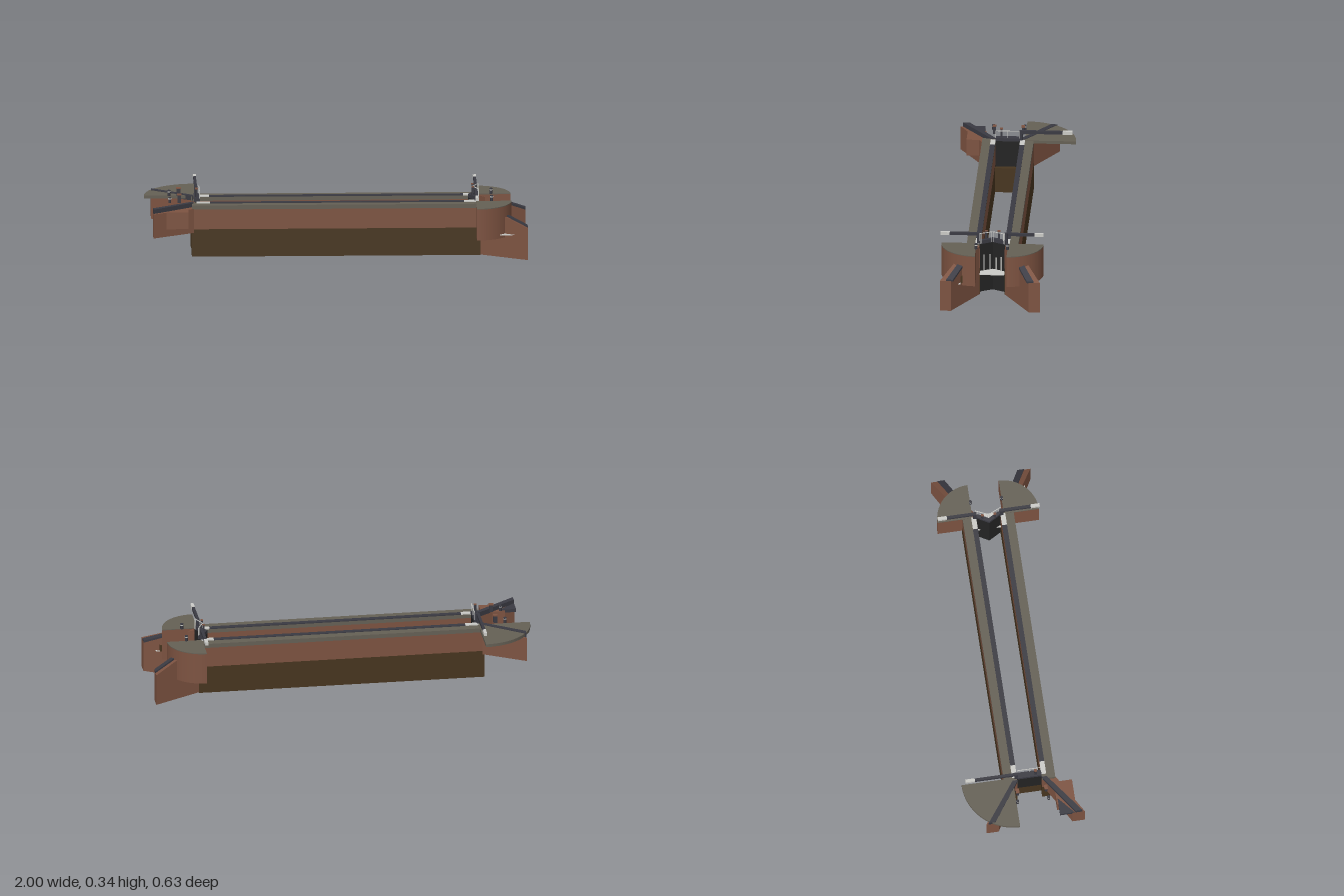
import * as THREE from 'three';

const MID = 0.0425; // centre line of the channel in z

export function createModel() {
  const model = new THREE.Group();
  const paint = (name, color) => {
    const m = new THREE.MeshStandardMaterial({ color });
    m.name = name;
    return m;
  };
  const brick = paint('brick', 0x7d5341);
  const earth = paint('earthBrown', 0x47351f);
  const stone = paint('stone', 0x656055);
  const steel = paint('darkSteel', 0x3a3a42);
  const black = paint('blackTimber', 0x232323);
  const white = paint('paleGrey', 0xcbcbc7);

  const add = (name, geometry, material) => {
    const mesh = new THREE.Mesh(geometry, material);
    mesh.name = name;
    model.add(mesh);
    return mesh;
  };
  // Box given by its limits
  const box = (name, mat, x0, x1, y0, y1, z0, z1) => {
    const g = new THREE.BoxGeometry(Math.abs(x1 - x0), y1 - y0, Math.abs(z1 - z0));
    g.translate((x0 + x1) / 2, (y0 + y1) / 2, (z0 + z1) / 2);
    return add(name, g, mat);
  };
  // Upright prism over a plan polygon; each point is [x, z, bottom, top]
  const prism = (name, mat, points) => {
    let area = 0;
    points.forEach((p, i) => {
      const q = points[(i + 1) % points.length];
      area += p[0] * q[1] - q[0] * p[1];
    });
    const pts = area > 0 ? points : [...points].reverse();
    const n = pts.length, pos = [];
    const low = (i) => [pts[i % n][0], pts[i % n][2], pts[i % n][1]];
    const high = (i) => [pts[i % n][0], pts[i % n][3], pts[i % n][1]];
    const tri = (...c) => c.forEach((v) => pos.push(...v));
    for (let i = 0; i < n; i++) {
      tri(low(i), high(i), high(i + 1));
      tri(low(i), high(i + 1), low(i + 1));
      if (i > 0 && i < n - 1) {
        tri(high(0), high(i + 1), high(i));
        tri(low(0), low(i), low(i + 1));
      }
    }
    const g = new THREE.BufferGeometry();
    g.setAttribute('position', new THREE.Float32BufferAttribute(pos, 3));
    g.computeVertexNormals();
    return add(name, g, mat);
  };
  // Quarter disc, turned about its corner
  const quarter = (name, mat, x, z, r, top, depth, turn) => {
    const s = new THREE.Shape();
    s.moveTo(0, 0);
    s.lineTo(r, 0);
    s.absarc(0, 0, r, 0, Math.PI / 2, false);
    const g = new THREE.ExtrudeGeometry(s, { depth, bevelEnabled: false, curveSegments: 12 });
    g.rotateX(Math.PI / 2);
    g.rotateY(turn);
    g.translate(x, top, z);
    return add(name, g, mat);
  };

  for (const s of [1, -1]) {
    const side = s > 0 ? 'front' : 'back';
    const Z = (d) => MID + s * d; // distance from the channel centre line

    // Chamber walls with coping
    box(side + 'WallBase', earth, -0.755, 0.755, 0, 0.147, Z(0.065), Z(0.135));
    box(side + 'WallBrick', brick, -0.755, 0.755, 0.147, 0.253, Z(0.065), Z(0.135));
    box(side + 'WallTop', stone, -0.755, 0.735, 0.253, 0.275, Z(0.065), Z(0.135));
    box(side + 'Coping', steel, -0.66, 0.67, 0.274, 0.279, Z(0.064), Z(0.09));
    box(side + 'UpperPad', white, -0.73, -0.66, 0.274, 0.28, Z(0.064), Z(0.09));
    box(side + 'LowerPad', white, 0.67, 0.735, 0.274, 0.28, Z(0.064), Z(0.09));

    // Lower wing walls, sloping down outwards
    prism(side + 'LowerWing', brick, [
      [0.755, Z(0.066), 0, 0.272], [1, Z(0.204), 0, 0.167],
      [1, Z(0.262), 0, 0.167], [0.755, Z(0.125), 0, 0.272]]);
    prism(side + 'LowerWingCoping', steel, [
      [0.88, Z(0.135), 0.217, 0.228], [1, Z(0.193), 0.164, 0.175],
      [1, Z(0.229), 0.164, 0.175], [0.88, Z(0.168), 0.217, 0.228]]);

    // Round platforms beside the lower gates
    const turn = s > 0 ? 0 : Math.PI / 2;
    quarter(side + 'Platform', brick, 0.733, Z(0.083), 0.185, 0.274, 0.166, turn);
    quarter(side + 'PlatformTop', stone, 0.733, Z(0.083), 0.185, 0.278, 0.004, turn);

    // Upper wing walls
    prism(side + 'UpperWing', brick, [
      [-0.735, Z(0.066), 0.128, 0.257], [-0.96, Z(0.195), 0.128, 0.257],
      [-0.96, Z(0.26), 0.128, 0.257], [-0.735, Z(0.13), 0.128, 0.257]]);
    prism(side + 'UpperWingCoping', steel, [
      [-0.745, Z(0.062), 0.255, 0.28], [-0.96, Z(0.212), 0.255, 0.28],
      [-0.96, Z(0.248), 0.255, 0.28], [-0.745, Z(0.09), 0.255, 0.28]]);

    // Mooring posts and paddle winches
    for (const x of [-0.87, 0.815]) {
      const post = new THREE.CylinderGeometry(0.008, 0.008, 0.03, 10);
      add(side + 'MooringPost', post.translate(x, 0.293, Z(0.082)), steel);
      const band = new THREE.CylinderGeometry(0.0085, 0.0085, 0.005, 10);
      add(side + 'MooringBand', band.translate(x, 0.3, Z(0.082)), white);
    }
    box(side + 'Winch', steel, -0.83, -0.81, 0.278, 0.317, Z(0.068), Z(0.083));
    box(side + 'WinchCap', brick, -0.832, -0.808, 0.317, 0.323, Z(0.066), Z(0.084));

    // Lower mitre gate leaf with walkway
    const leaf = (b, t) => [
      [0.692, MID, b, t], [0.714, MID, b, t], [0.75, Z(0.067), b, t], [0.73, Z(0.067), b, t]];
    prism(side + 'GateLeaf', black, leaf(0.012, 0.278));
    prism(side + 'GateWalkway', steel, leaf(0.278, 0.297));
    box(side + 'GateRack', steel, 0.712, 0.722, 0.29, 0.34, Z(0.027), Z(0.039));
    box(side + 'GateRackCap', brick, 0.711, 0.723, 0.34, 0.345, Z(0.026), Z(0.04));

    // Balance beam and its heel post
    const end = s > 0 ? 0.272 : 0.267;
    box(side + 'BeamPost', steel, 0.725, 0.742, 0.278, 0.338, Z(0.062), Z(0.08));
    box(side + 'BalanceBeam', steel, 0.726, 0.741, 0.324, 0.338, Z(0.062), Z(end - 0.048));
    box(side + 'BeamTip', white, 0.725, 0.742, 0.323, 0.339, Z(end - 0.048), Z(end));

    // Handrail
    for (const [x, d] of [[0.748, 0.065], [0.744, 0.058], [0.718, 0.005]])
      box(side + 'RailPost', white, x - 0.0015, x + 0.0015, 0.28, 0.339, Z(d - 0.0015), Z(d + 0.0015));
    prism(side + 'Rail', white, [
      [0.716, MID, 0.336, 0.339], [0.72, MID, 0.336, 0.339],
      [0.75, Z(0.066), 0.336, 0.339], [0.746, Z(0.066), 0.336, 0.339]]);
  }

  // Water leaking through the lower gates
  for (const [z, top] of [[0.087, 0.217], [0.056, 0.213], [0.024, 0.196], [-0.003, 0.205]]) {
    const x = 0.717 + Math.abs(z - MID) * 0.53;
    box('leak', white, x - 0.003, x + 0.004, 0.127, top, z - 0.003, z + 0.003);
  }
  box('gateFoam', white, 0.715, 0.8, 0.125, 0.128, -0.022, 0.107);

  // Culvert outlet in the front wing
  box('outletFoam', white, 0.85, 0.94, 0.125, 0.128, 0.2, 0.265);
  box('outlet', earth, 0.905, 0.92, 0.127, 0.162, 0.19, 0.205);

  // Upper quarter platform, buttress and slab by the front wing
  quarter('upperPlatform', stone, -0.73, -0.045, 0.27, 0.277, 0.016, Math.PI);
  box('buttress', brick, -0.9, -0.775, 0.168, 0.257, 0.165, 0.262);
  prism('wingSlab', steel, [
    [-0.96, 0.172, 0.245, 0.262], [-0.87, 0.172, 0.245, 0.262], [-0.96, 0.25, 0.245, 0.262]]);

  // Upper gate on its sill
  box('upperSill', earth, -0.72, -0.687, 0, 0.135, -0.023, 0.108);
  box('upperGate', black, -0.735, -0.712, 0.13, 0.278, -0.022, 0.107);
  box('upperWalkway', steel, -0.742, -0.71, 0.278, 0.295, -0.022, 0.107);
  box('upperBeamPost', steel, -0.738, -0.722, 0.278, 0.333, -0.035, -0.018);
  box('upperBeam', steel, -0.737, -0.723, 0.317, 0.333, -0.245, -0.02);
  box('upperBeamTip', white, -0.738, -0.722, 0.316, 0.334, -0.295, -0.245);
  box('upperRack', steel, -0.735, -0.723, 0.29, 0.34, 0.07, 0.082);
  box('upperRackCap', brick, -0.736, -0.722, 0.34, 0.345, 0.069, 0.083);
  for (const z of [0.105, 0.045, -0.018])
    box('upperRailPost', white, -0.715, -0.712, 0.28, 0.336, z - 0.0015, z + 0.0015);
  box('upperRail', white, -0.715, -0.712, 0.333, 0.336, -0.02, 0.107);

  return model;
}
